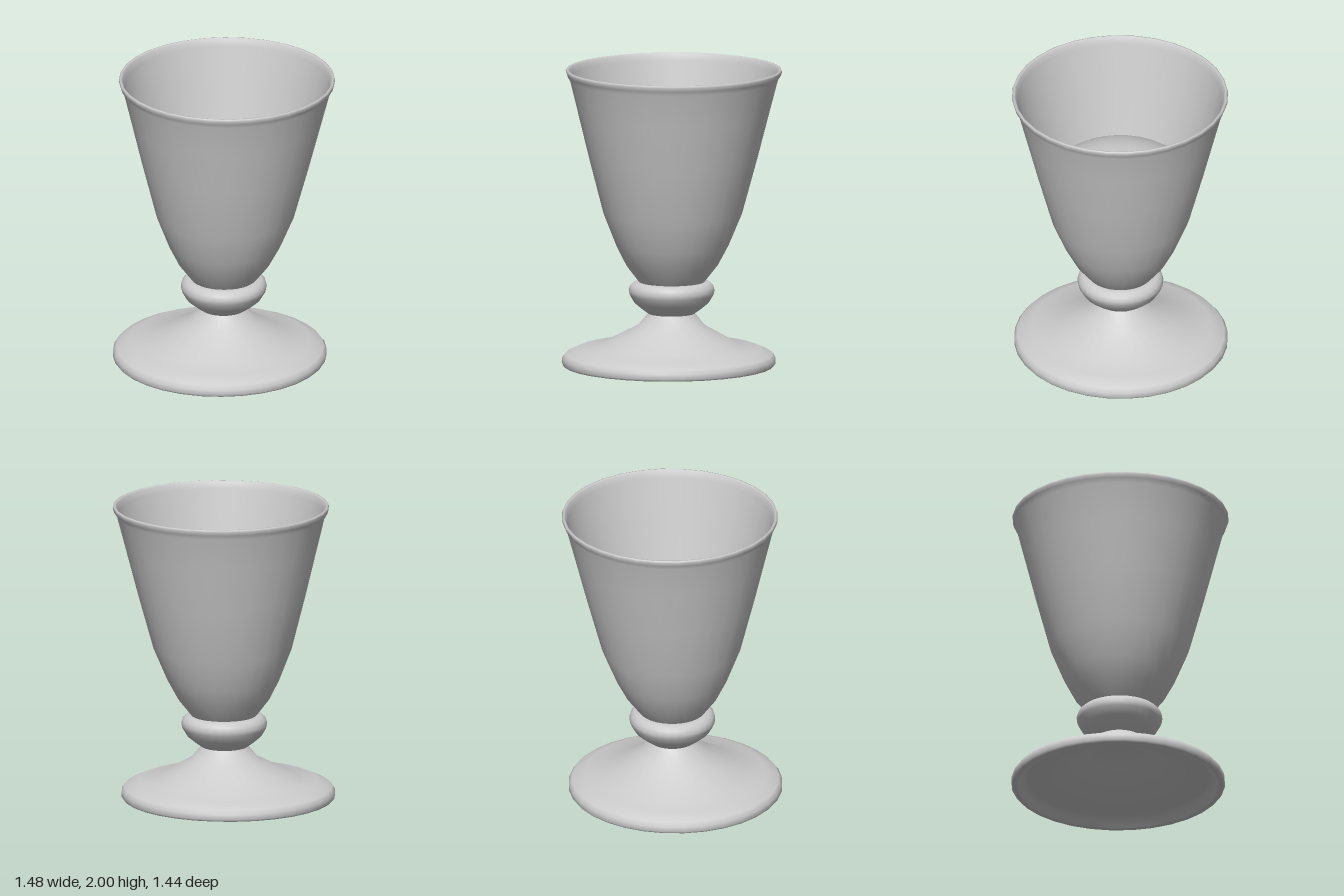
import * as THREE from 'three';

const SIDES = 32;

// The goblet leans very slightly: height -> sideways shift of the axis
const LEAN = [[0, -0.03], [0.13, -0.027], [0.27, -0.005], [0.5, -0.002], [1, 0.008], [2, 0.02]];

function leanAt(y) {
  for (let i = 1; i < LEAN.length; i++) {
    const [y0, x0] = LEAN[i - 1], [y1, x1] = LEAN[i];
    if (y <= y1) return x0 + (x1 - x0) * (y - y0) / (y1 - y0);
  }
  return LEAN[LEAN.length - 1][1];
}

// Turned part from [radius, height] points, shifted along the lean
function turned(name, profile, material) {
  const points = profile.map(([r, y]) => new THREE.Vector2(r, y));
  const geometry = new THREE.LatheGeometry(points, SIDES);
  const p = geometry.attributes.position;
  for (let i = 0; i < p.count; i++) p.setX(i, p.getX(i) + leanAt(p.getY(i)));
  const mesh = new THREE.Mesh(geometry, material);
  mesh.name = name;
  return mesh;
}

export function createModel() {
  const group = new THREE.Group();
  group.name = 'goblet';
  // The turned shells are open at their ends
  const grey = new THREE.MeshStandardMaterial({ color: 0xcccccc, side: THREE.DoubleSide });

  // Hollow foot: underside from the centre out, then over the edge up to the neck
  group.add(turned('foot', [
    [0, 0.31], [0.13, 0.31], [0.2, 0.23], [0.44, 0.095], [0.6, 0.07], [0.645, 0.045], [0.66, 0.005],
    [0.68, 0], [0.7, 0.002], [0.711, 0.015], [0.711, 0.05], [0.69, 0.077], [0.605, 0.115],
    [0.47, 0.135], [0.225, 0.27], [0.155, 0.355],
  ], grey));

  // Rounded collar between foot and bowl
  group.add(turned('collar', [
    [0.155, 0.355], [0.2, 0.388], [0.25, 0.43], [0.28, 0.482], [0.286, 0.51],
    [0.278, 0.54], [0.255, 0.562], [0.22, 0.57], [0.15, 0.57],
  ], grey));

  // Bowl: outer wall, rolled rim, inner wall
  group.add(turned('bowl', [
    [0.22, 0.57], [0.305, 0.68], [0.375, 0.815], [0.462, 1.03], [0.56, 1.4], [0.635, 1.7],
    [0.693, 1.93], [0.712, 1.96], [0.72, 1.985], [0.716, 1.998], [0.706, 2], [0.695, 1.988],
    [0.682, 1.95], [0.615, 1.67], [0.52, 1.3],
  ], grey));

  // Domed floor inside the bowl
  const dome = [];
  const angle = 0.85, radius = 0.52 / Math.sin(angle);
  for (let i = 0; i <= 8; i++) {
    const a = angle * (1 - i / 8);
    dome.push([radius * Math.sin(a), 1.3 + radius * (Math.cos(a) - Math.cos(angle))]);
  }
  group.add(turned('bowlFloor', dome, grey));

  return group;
}
